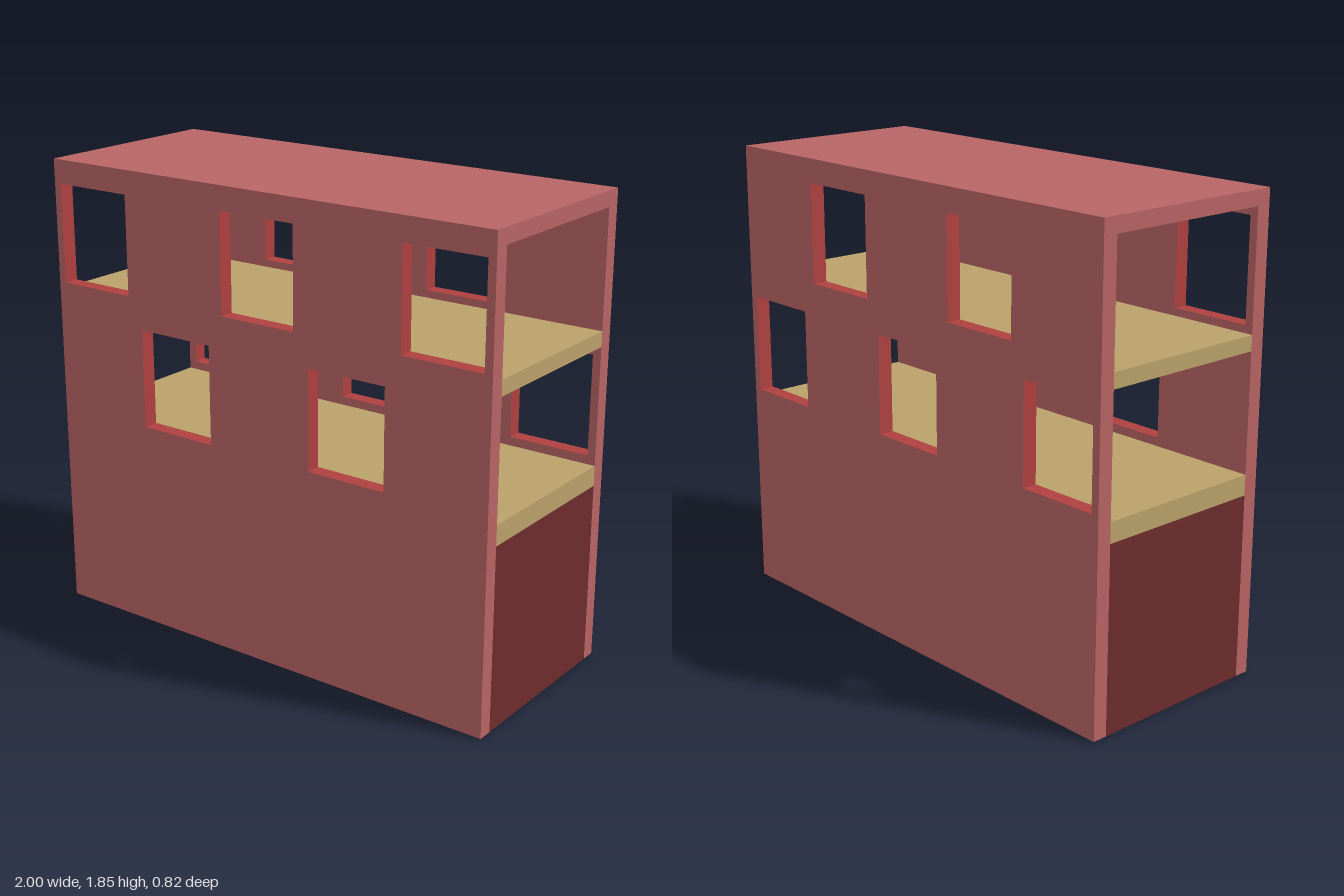
import * as THREE from 'three';

const mat = (name, color) => {
  const m = new THREE.MeshStandardMaterial({ color });
  m.name = name;
  return m;
};

const LENGTH = 2, HEIGHT = 1.85, DEPTH = 0.82, WALL = 0.06;
const INNER = DEPTH - 2 * WALL;
const WIN_W = 0.335, WIN_H = 0.395;
const UPPER = 1.36, LOWER = 0.84; // window sill heights

export function createModel() {
  const group = new THREE.Group();
  group.name = 'twoLevelShell';
  const wallRed = mat('wall red', 0xb86464);
  const revealRed = mat('window reveal red', 0xb04040);
  const baseRed = mat('dark base red', 0x6e2c2c);
  const tan = mat('floor tan', 0xbaa16a);

  // Long wall with square window openings; the reveals have their own colour
  function addWall(name, z, windows) {
    const shape = new THREE.Shape();
    shape.moveTo(-LENGTH / 2, 0);
    shape.lineTo(LENGTH / 2, 0);
    shape.lineTo(LENGTH / 2, HEIGHT);
    shape.lineTo(-LENGTH / 2, HEIGHT);
    for (const [cx, y] of windows) {
      const x0 = cx - WIN_W / 2, x1 = cx + WIN_W / 2;
      const hole = new THREE.Path();
      hole.moveTo(x0, y);
      hole.lineTo(x0, y + WIN_H);
      hole.lineTo(x1, y + WIN_H);
      hole.lineTo(x1, y);
      shape.holes.push(hole);
    }
    const geo = new THREE.ExtrudeGeometry(shape, { depth: WALL, bevelEnabled: false });
    // Caps and the four outer edges are wall, the remaining sides are reveals
    const outerEnd = geo.groups[1].start + 24;
    const total = geo.attributes.position.count;
    geo.clearGroups();
    geo.addGroup(0, outerEnd, 0);
    geo.addGroup(outerEnd, total - outerEnd, 1);
    const mesh = new THREE.Mesh(geo, [wallRed, revealRed]);
    mesh.name = name;
    mesh.position.z = z;
    group.add(mesh);
  }

  // Full-length slab between the two walls
  function addSlab(name, y0, y1, material) {
    const mesh = new THREE.Mesh(new THREE.BoxGeometry(LENGTH, y1 - y0, INNER), material);
    mesh.name = name;
    mesh.position.y = (y0 + y1) / 2;
    group.add(mesh);
  }

  // Windows are staggered between the front and the back
  const row = (xs, y) => xs.map((x) => [x, y]);
  const three = [-0.8, 0, 0.8], two = [-0.4, 0.4];
  addWall('frontWall', INNER / 2, [...row(three, UPPER), ...row(two, LOWER)]);
  addWall('backWall', -DEPTH / 2, [...row(two, UPPER), ...row(three, LOWER)]);

  addSlab('solidBase', 0, 0.725, baseRed);
  addSlab('lowerFloor', 0.725, 0.805, tan);
  addSlab('upperFloor', 1.27, 1.33, tan);
  addSlab('roof', HEIGHT - WALL, HEIGHT, wallRed);

  return group;
}
